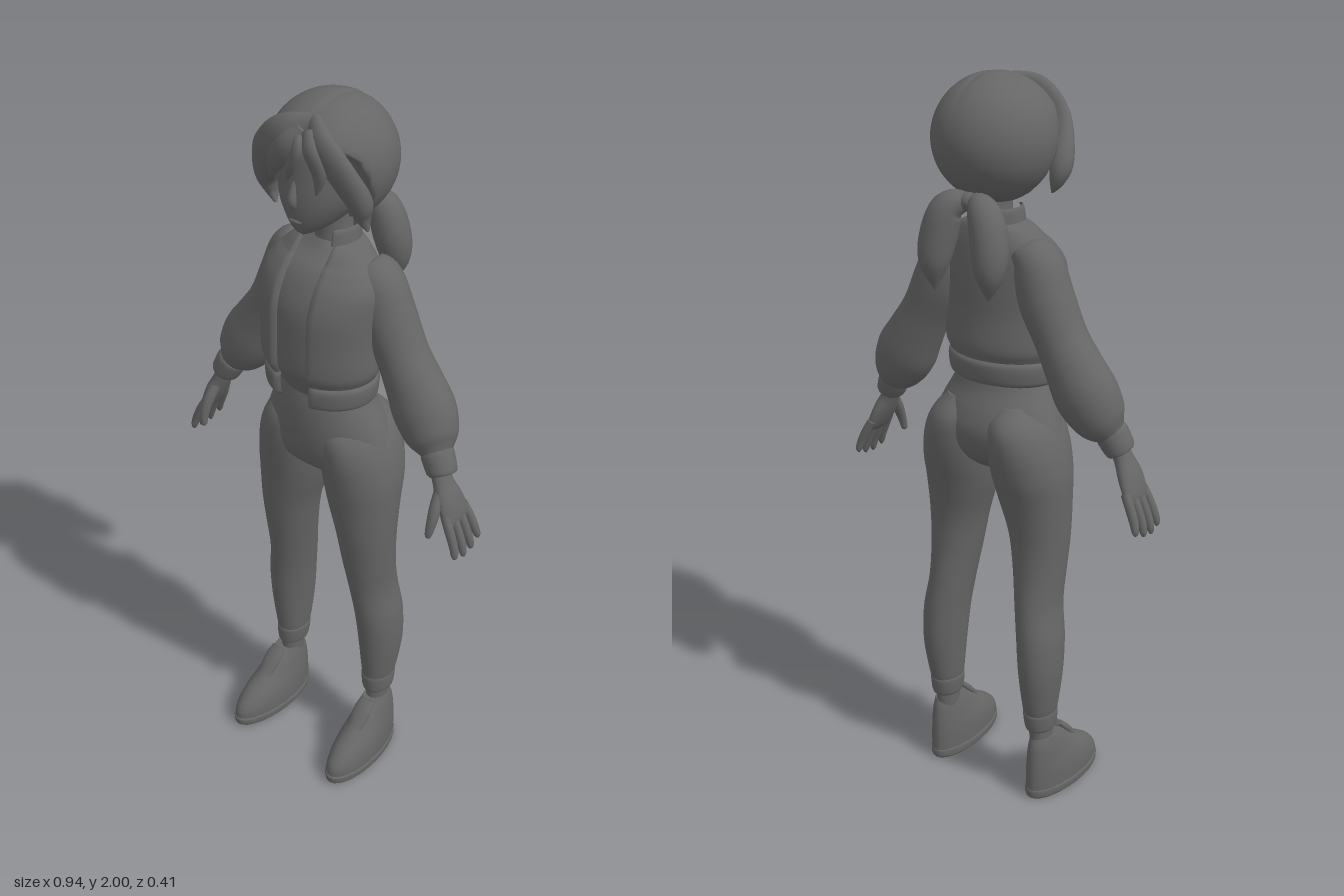
import * as THREE from 'three';

const grey = new THREE.MeshStandardMaterial({ color: 0x666666, side: THREE.DoubleSide });
grey.name = 'clay grey';

// Sweeps an ellipse through sections [x, y, z, rx, rz]; level keeps rings horizontal,
// gap leaves an opening of that half width at the front.
function sweep(name, sections, { n = 28, steps = 5, level = false, gap = 0, mirror = 1 } = {}) {
  const path = new THREE.CatmullRomCurve3(
    sections.map(s => new THREE.Vector3(s[0] * mirror, s[1], s[2])), false, 'catmullrom', 0.5);
  const radii = new THREE.CatmullRomCurve3(
    sections.map(s => new THREE.Vector3(s[3], s[4], 0)), false, 'catmullrom', 0.5);
  const rows = (sections.length - 1) * steps;
  const down = Math.sign(sections[sections.length - 1][1] - sections[0][1]);
  const front = new THREE.Vector3(0, 0, 1);
  const rings = [];
  for (let i = 0; i <= rows; i++) {
    const c = path.getPoint(i / rows), r = radii.getPoint(i / rows);
    const t = level ? new THREE.Vector3(0, down, 0) : path.getTangent(i / rows);
    const side = t.clone().cross(front).normalize();
    const depth = side.clone().cross(t);
    const open = gap ? Math.asin(Math.min(0.85, gap / r.x)) : 0;
    const ring = [];
    for (let j = 0; j < n; j++) {
      let a = j / n * Math.PI * 2, k = 1;
      if (gap) {
        // the first and last points fold inward to give the cloth a thick edge
        const u = THREE.MathUtils.clamp((j - 1) / (n - 3), 0, 1);
        a = Math.PI / 2 + open + u * (Math.PI * 2 - 2 * open);
        if (j === 0 || j === n - 1) k = 0.88;
      }
      ring.push(c.clone().addScaledVector(side, Math.cos(a) * r.x * k)
        .addScaledVector(depth, Math.sin(a) * r.y * k));
    }
    rings.push(ring);
    // separate cap rings keep the ends crisp
    if (!gap && (i === 0 || i === rows)) {
      const cap = [ring.map(p => p.clone()), ring.map(() => c.clone())];
      if (i === 0) rings.unshift(cap[1], cap[0]); else rings.push(cap[0], cap[1]);
    }
  }
  const index = [], pos = rings.flat().flatMap(p => [p.x, p.y, p.z]);
  for (let i = 0; i < rings.length - 1; i++) {
    if (!gap && (i === 1 || i === rings.length - 3)) continue;
    for (let j = 0; j < (gap ? n - 1 : n); j++) {
      const a = i * n + j, b = i * n + (j + 1) % n, c = a + n, d = b + n;
      index.push(a, c, b, b, c, d);
    }
  }
  const g = new THREE.BufferGeometry();
  g.setAttribute('position', new THREE.Float32BufferAttribute(pos, 3));
  g.setIndex(index);
  g.computeVertexNormals();
  return named(name, g);
}

function named(name, geometry) {
  const m = new THREE.Mesh(geometry, grey);
  m.name = name;
  return m;
}

function ball(name, x, y, z, rx, ry, rz) {
  const m = named(name, new THREE.SphereGeometry(1, 20, 14));
  m.position.set(x, y, z);
  m.scale.set(rx, ry, rz);
  return m;
}

// Horizontal section from its half width and its front and back z
const sec = (y, rx, f, b, x = 0) => [x, y, (f + b) / 2, rx, (f - b) / 2];

function hairCap() {
  const g = new THREE.SphereGeometry(1, 48, 36), p = g.attributes.position;
  for (let i = 0; i < p.count; i++) {
    const x = p.getX(i), y = p.getY(i), z = p.getZ(i);
    const groove = 1 - 0.025 * Math.exp(-Math.pow((x - 0.15) / 0.05, 2)) * Math.max(0, y);
    const h = 1.84 + y * 0.158 * groove;
    // flatten the front below the hairline so the face shows
    const limit = h > 1.93 ? 1 : h > 1.89 ? 0.05 + (h - 1.89) * 3 : 0.05 - (1.89 - h) * 0.4;
    p.setXYZ(i, x * 0.16, h, Math.min(-0.02 + z * 0.163 * groove, limit));
  }
  g.computeVertexNormals();
  return named('hairCap', g);
}

export function createModel() {
  const model = new THREE.Group();
  model.name = 'figure';
  const add = (...m) => model.add(...m);

  // Head and face
  add(sweep('head', [sec(1.95, 0.06, 0.08, -0.06), sec(1.9, 0.1, 0.112, -0.1), sec(1.82, 0.11, 0.122, -0.1),
    sec(1.765, 0.1, 0.125, -0.09), sec(1.72, 0.072, 0.12, -0.06), sec(1.69, 0.038, 0.108, 0.01),
    sec(1.678, 0.016, 0.096, 0.05)], { level: true }));
  add(sweep('nose', [[0, 1.82, 0.115, 0.008, 0.008], [0, 1.775, 0.125, 0.012, 0.014], [0, 1.755, 0.118, 0.01, 0.008]],
    { n: 12 }));
  add(ball('lips', 0, 1.718, 0.116, 0.02, 0.007, 0.008));
  add(sweep('neck', [sec(1.74, 0.045, 0.03, -0.07), sec(1.66, 0.045, 0.02, -0.075), sec(1.58, 0.06, 0.03, -0.085)],
    { level: true }));

  // Hair
  add(hairCap());
  const locks = [
    [[0.03, 1.965, 0.08, 0.02, 0.015], [-0.03, 1.935, 0.115, 0.04, 0.022], [-0.09, 1.87, 0.108, 0.045, 0.022],
      [-0.138, 1.79, 0.06, 0.035, 0.03], [-0.138, 1.74, 0.045, 0.02, 0.022], [-0.12, 1.705, 0.05, 0.003, 0.004]],
    [[0.03, 1.965, 0.08, 0.02, 0.015], [0.075, 1.93, 0.108, 0.035, 0.022], [0.118, 1.86, 0.09, 0.04, 0.025],
      [0.142, 1.79, 0.055, 0.032, 0.03], [0.143, 1.745, 0.04, 0.018, 0.022], [0.154, 1.71, 0.035, 0.003, 0.004]],
    [[0.02, 1.95, 0.11, 0.018, 0.015], [-0.01, 1.915, 0.133, 0.025, 0.016], [-0.045, 1.865, 0.13, 0.025, 0.014],
      [-0.08, 1.805, 0.11, 0.003, 0.004]],
    [[0.04, 1.95, 0.11, 0.018, 0.015], [0.06, 1.915, 0.128, 0.022, 0.016], [0.075, 1.86, 0.118, 0.02, 0.014],
      [0.068, 1.805, 0.118, 0.003, 0.004]],
    [[0.01, 1.945, 0.115, 0.015, 0.012], [0.025, 1.91, 0.135, 0.014, 0.012], [0.005, 1.86, 0.135, 0.012, 0.01],
      [-0.012, 1.825, 0.13, 0.002, 0.003]],
  ];
  locks.forEach((l, i) => add(sweep('fringeLock' + (i + 1), l, { n: 16 })));
  add(ball('hairTie', 0, 1.7, -0.125, 0.035, 0.025, 0.028));
  for (const s of [1, -1]) {
    add(sweep(s > 0 ? 'leftTail' : 'rightTail', [[0.01, 1.705, -0.12, 0.022, 0.022], [0.055, 1.68, -0.145, 0.042, 0.042],
      [0.078, 1.61, -0.155, 0.048, 0.048], [0.085, 1.54, -0.165, 0.038, 0.038],
      [0.082, 1.475, -0.165, 0.004, 0.005]], { n: 18, mirror: s }));
  }

  // Shirt and open jacket
  const torso = [[1.58, 0.15, 0.1, -0.1], [1.54, 0.172, 0.127, -0.103], [1.48, 0.172, 0.149, -0.105],
    [1.4, 0.168, 0.154, -0.105], [1.32, 0.168, 0.154, -0.11], [1.285, 0.155, 0.143, -0.1]];
  add(sweep('shirt', [[1.635, 0.05, 0.035, -0.08], [1.61, 0.1, 0.06, -0.085], ...torso, [1.23, 0.13, 0.115, -0.09]]
    .map(([y, rx, f, b]) => sec(y, rx - 0.012, f - 0.013, b + 0.012)), { level: true, n: 36 }));
  add(sweep('jacket', [[1.6, 0.13, 0.08, -0.097], ...torso].map(a => sec(...a)),
    { level: true, n: 60, gap: 0.055 }));
  add(sweep('jacketYoke', [sec(1.64, 0.068, 0.05, -0.088), sec(1.625, 0.1, 0.062, -0.092), sec(1.6, 0.13, 0.08, -0.097)],
    { level: true, n: 60, gap: 0.055 }));
  add(sweep('collar', [sec(1.675, 0.066, 0.045, -0.09), sec(1.665, 0.07, 0.052, -0.095), sec(1.635, 0.074, 0.055, -0.092)],
    { level: true, n: 60, gap: 0.045 }));
  add(sweep('jacketHem', [sec(1.288, 0.148, 0.138, -0.095), sec(1.272, 0.16, 0.148, -0.106),
    sec(1.23, 0.157, 0.145, -0.102), sec(1.218, 0.146, 0.134, -0.09)], { level: true, n: 60, gap: 0.055 }));

  // Hips
  add(sweep('hips', [sec(1.25, 0.118, 0.1, -0.088), sec(1.2, 0.14, 0.11, -0.1), sec(1.15, 0.166, 0.114, -0.122),
    sec(1.1, 0.187, 0.114, -0.135), sec(1.05, 0.202, 0.108, -0.128), sec(1.01, 0.19, 0.092, -0.105),
    sec(0.98, 0.12, 0.06, -0.07)], { level: true, n: 40 }));

  for (const s of [1, -1]) {
    const side = s > 0 ? 'left' : 'right';
    const level = { level: true, mirror: s };

    // Trouser leg, cuff and ankle
    add(sweep(side + 'Leg', [sec(1.17, 0.05, 0.06, -0.1, 0.08), sec(1.12, 0.085, 0.1, -0.14, 0.09),
      sec(1.06, 0.1, 0.108, -0.146, 0.102), sec(0.98, 0.106, 0.1, -0.132, 0.112), sec(0.9, 0.099, 0.09, -0.11, 0.12),
      sec(0.8, 0.083, 0.079, -0.092, 0.133), sec(0.7, 0.071, 0.066, -0.092, 0.139), sec(0.6, 0.061, 0.051, -0.104, 0.146),
      sec(0.5, 0.061, 0.04, -0.115, 0.16), sec(0.4, 0.057, 0.03, -0.115, 0.165), sec(0.3, 0.047, 0.019, -0.1, 0.164),
      sec(0.26, 0.04, 0.014, -0.09, 0.163)], level));
    add(sweep(side + 'LegCuff', [sec(0.275, 0.04, 0.014, -0.09, 0.163), sec(0.265, 0.044, 0.018, -0.095, 0.163),
      sec(0.225, 0.041, 0.015, -0.089, 0.164), sec(0.215, 0.036, 0.01, -0.084, 0.164)], level));
    add(sweep(side + 'Ankle', [sec(0.24, 0.031, 0.003, -0.076, 0.164), sec(0.12, 0.03, 0.005, -0.073, 0.166)], level));

    // Shoe
    const shoe = new THREE.Group();
    shoe.name = side + 'Shoe';
    shoe.add(sweep('shoeUpper', [sec(0.188, 0.034, 0.03, -0.074), sec(0.165, 0.04, 0.06, -0.084),
      sec(0.13, 0.047, 0.105, -0.09), sec(0.09, 0.055, 0.165, -0.093), sec(0.055, 0.058, 0.198, -0.094),
      sec(0.02, 0.058, 0.205, -0.094)], { level: true }));
    shoe.add(sweep('shoeSole', [sec(0.03, 0.057, 0.203, -0.093), sec(0.024, 0.061, 0.208, -0.096),
      sec(0.007, 0.06, 0.206, -0.095), sec(0, 0.055, 0.2, -0.09)], { level: true }));
    shoe.add(sweep('shoeTongue', [[0, 0.198, 0.022, 0.022, 0.008], [0, 0.17, 0.05, 0.028, 0.014],
      [0, 0.13, 0.085, 0.024, 0.016]], { n: 16 }));
    shoe.position.x = s * 0.172;
    shoe.rotation.y = s * 0.05;
    add(shoe);

    // Sleeve and cuff
    add(sweep(side + 'Sleeve', [[0.1, 1.575, -0.03, 0.04, 0.055], [0.135, 1.545, -0.033, 0.062, 0.066],
      [0.165, 1.46, -0.036, 0.072, 0.07], [0.21, 1.37, -0.037, 0.068, 0.068], [0.25, 1.3, -0.037, 0.076, 0.072],
      [0.288, 1.235, -0.034, 0.085, 0.076], [0.325, 1.175, -0.024, 0.07, 0.066],
      [0.35, 1.14, -0.013, 0.038, 0.04]], { mirror: s }));
    add(sweep(side + 'SleeveCuff', [[0.342, 1.152, -0.014, 0.036, 0.038], [0.35, 1.14, -0.012, 0.043, 0.044],
      [0.37, 1.103, -0.006, 0.04, 0.041], [0.375, 1.093, -0.004, 0.034, 0.036]], { mirror: s, n: 20 }));

    // Hand
    add(sweep(side + 'Palm', [[0.36, 1.12, -0.005, 0.022, 0.028], [0.38, 1.075, 0, 0.023, 0.031],
      [0.4, 1.035, 0, 0.024, 0.044], [0.42, 0.99, -0.004, 0.018, 0.049], [0.428, 0.97, -0.005, 0.01, 0.044]],
      { mirror: s, n: 20 }));
    for (let i = 0; i < 4; i++) {
      const z = 0.034 - i * 0.026, len = [0.09, 1.0, 0.95, 0.8][i] * (i ? 0.1 : 1), fan = z * 0.3;
      add(sweep(side + 'Finger' + (i + 1), [[0.415, 1.0, z, 0.012, 0.012], [0.434, 0.965, z + fan * 0.4, 0.013, 0.012],
        [0.43 + len * 0.24, 0.975 - len * 0.55, z + fan * 0.7, 0.012, 0.011],
        [0.434 + len * 0.27, 0.975 - len * 0.82, z + fan, 0.009, 0.009],
        [0.434 + len * 0.27, 0.972 - len * 0.9, z + fan, 0.003, 0.003]], { mirror: s, n: 10, steps: 3 }));
    }
    add(sweep(side + 'Thumb', [[0.385, 1.06, 0.018, 0.015, 0.015], [0.392, 1.02, 0.045, 0.016, 0.016],
      [0.394, 0.98, 0.063, 0.013, 0.012], [0.392, 0.95, 0.07, 0.009, 0.009], [0.391, 0.943, 0.071, 0.003, 0.003]],
      { mirror: s, n: 12, steps: 3 }));
  }
  return model;
}
